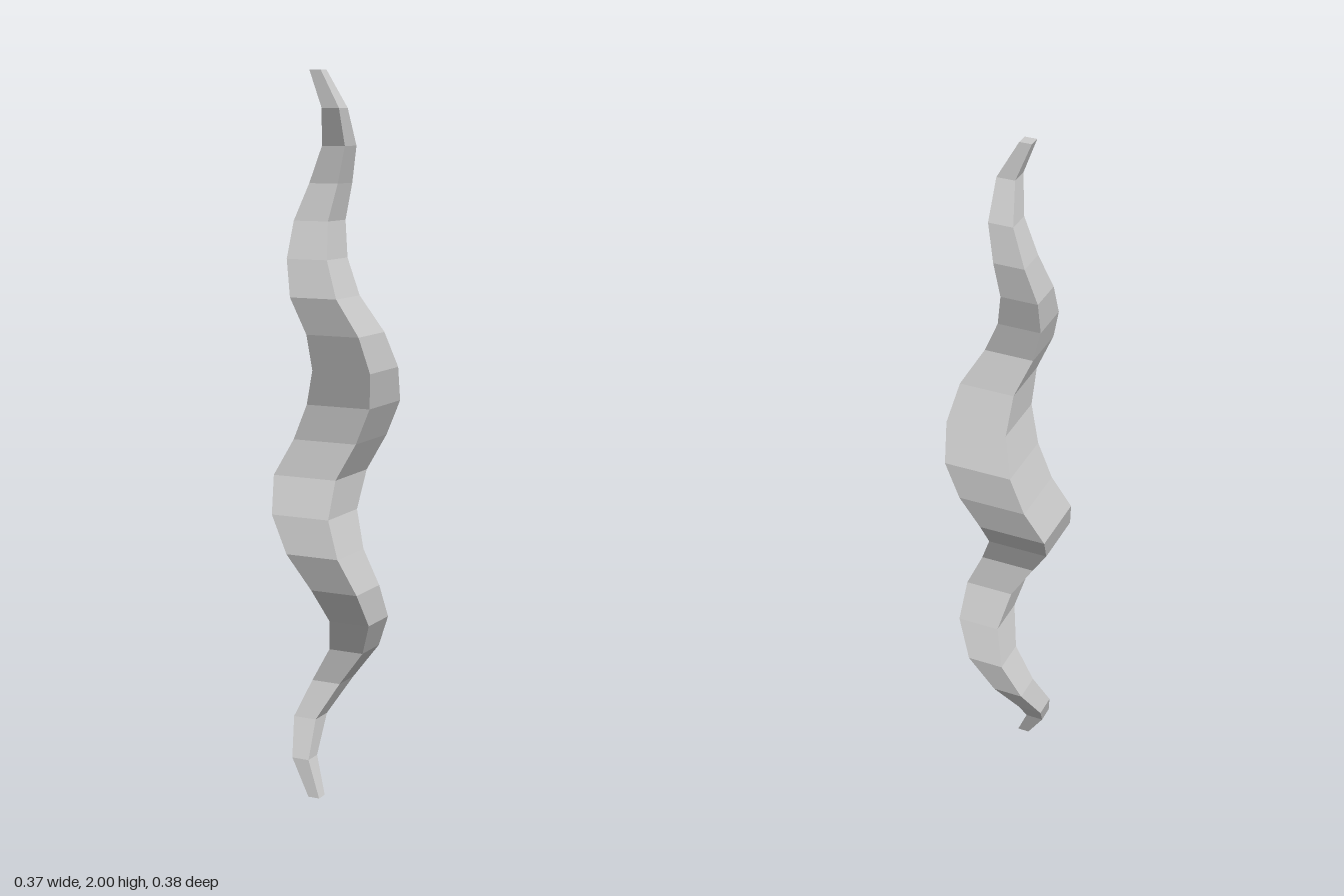
import * as THREE from 'three';

// Centre line of the shaft as [x, z], one entry every 0.1 in height
const CENTRES = [
  [-0.081, 0.066], [-0.099, 0.012], [-0.063, -0.049], [0.005, -0.052], [0.053, -0.005],
  [0.045, 0.06], [-0.005, 0.092], [-0.055, 0.066], [-0.066, 0.005], [-0.032, -0.049],
  [0.02, -0.03], [0.048, 0.003], [0.038, 0.048], [0.003, 0.068], [-0.05, 0.051],
  [-0.058, 0.007], [-0.04, -0.028], [-0.009, -0.026], [0.005, 0.005], [-0.021, 0.046],
  [-0.058, 0.016],
];

// Thin at both ends, swelling evenly to a constant middle
function radiusAt(i) {
  return 0.024 + 0.0124 * Math.min(i, 20 - i, 9);
}

export function createModel() {
  const group = new THREE.Group();
  group.name = 'twistedShaft';

  // Four-sided column whose rings are scaled and shifted along the centre line
  const geometry = new THREE.CylinderGeometry(1, 1, 2, 4, 20);
  geometry.translate(0, 1, 0);
  const pos = geometry.attributes.position;
  for (let v = 0; v < pos.count; v++) {
    const i = Math.round(pos.getY(v) * 10);
    const [cx, cz] = CENTRES[i];
    const r = radiusAt(i);
    pos.setXYZ(v, cx + pos.getX(v) * r, i / 10, cz + pos.getZ(v) * r);
  }
  geometry.computeVertexNormals();

  const material = new THREE.MeshStandardMaterial({ color: 0xcccccc, flatShading: true });
  const shaft = new THREE.Mesh(geometry, material);
  shaft.name = 'wavyShaft';
  group.add(shaft);
  return group;
}
